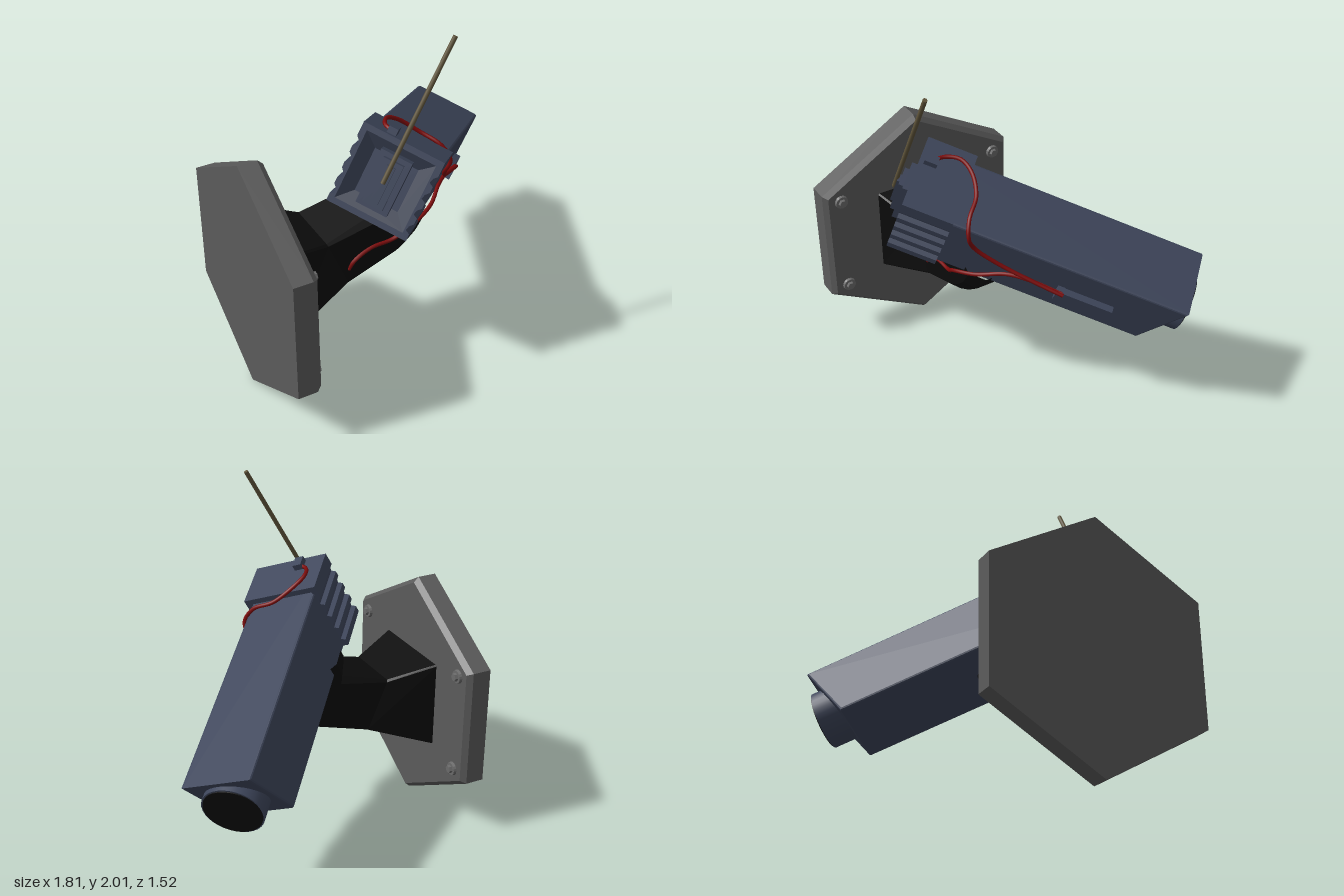
import * as THREE from 'three';

const mat = (name, color, extra = {}) => new THREE.MeshStandardMaterial({ name, color, ...extra });

// gives every face its own normal
function faceted(geo) {
  const g = geo.index ? geo.toNonIndexed() : geo;
  g.computeVertexNormals();
  return g;
}

// lofts eight-sided rings; section = [topX, topY, bottomX, bottomY, halfZ, chamfer]
function loftArm(sections, zMid) {
  const rings = sections.map(([tx, ty, bx, by, hz, c]) => {
    const hv = Math.hypot(tx - bx, ty - by) / 2;
    const v = 1 - c / hv, w = hz - c;
    return [[1, -w], [1, w], [v, hz], [-v, hz], [-1, w], [-1, -w], [-v, -hz], [v, -hz]].map(([k, z]) => [
      (tx + bx) / 2 + k * (tx - bx) / 2, (ty + by) / 2 + k * (ty - by) / 2, zMid + z]);
  });
  const pos = [];
  for (let i = 0; i < rings.length - 1; i++) {
    for (let j = 0; j < 8; j++) {
      const k = (j + 1) % 8;
      const a = rings[i][j], b = rings[i][k], c = rings[i + 1][j], d = rings[i + 1][k];
      pos.push(...a, ...b, ...c, ...b, ...d, ...c);
    }
  }
  const g = new THREE.BufferGeometry();
  g.setAttribute('position', new THREE.Float32BufferAttribute(pos, 3));
  g.computeVertexNormals();
  return g;
}

export function createModel() {
  const model = new THREE.Group();
  model.name = 'securityCamera';
  const blue = mat('housing blue grey', 0x3d455a);
  const inner = mat('recess blue grey', 0x343b4d, { side: THREE.DoubleSide });
  const grey = mat('plate grey', 0x5b5b5b);
  const steel = mat('bolt steel', 0x6a6a6a);
  const black = mat('arm black', 0x0b0b0b);
  const red = mat('wire red', 0x7d0a0a);
  const brass = mat('antenna brass', 0x5f543a);

  const add = (parent, name, geo, material, x = 0, y = 0, z = 0) => {
    const m = new THREE.Mesh(geo, material);
    m.name = name;
    m.position.set(x, y, z);
    parent.add(m);
    return m;
  };
  // cylinder lying along x
  const rod = (rFront, rBack, len, sides, start = 0, open = false) =>
    new THREE.CylinderGeometry(rFront, rBack, len, sides, 1, open, start).rotateZ(-Math.PI / 2);

  // hexagonal wall plate with bevelled front
  const py = 0.688, pz = 0.165;
  add(model, 'wallPlate', faceted(rod(0.688, 0.688, 0.107, 6, Math.PI / 6)), grey, -0.8585, py, pz);
  add(model, 'wallPlateBevel', faceted(rod(0.66, 0.688, 0.03, 6, Math.PI / 6)), grey, -0.79, py, pz);

  // four bolts
  for (const y of [0.4, 0.98]) {
    for (const z of [0.66, -0.33]) {
      add(model, 'boltWasher', faceted(rod(0.036, 0.04, 0.016, 16)), steel, -0.768, y, z);
      add(model, 'boltHead', faceted(rod(0.022, 0.024, 0.018, 6)), steel, -0.752, y, z);
    }
  }

  // flared arm with elbow
  add(model, 'arm', loftArm([
    [-0.776, 0.95, -0.776, 0.445, 0.27, 0.008],
    [-0.52, 0.87, -0.4, 0.58, 0.175, 0.012],
    [-0.24, 0.945, -0.1, 0.66, 0.172, 0.035],
    [-0.26, 0.975, -0.03, 0.69, 0.172, 0.05],
    [-0.27, 1.01, 0.04, 0.74, 0.172, 0.06],
    [-0.275, 1.046, 0.1, 0.812, 0.172, 0.07],
    [-0.255, 1.08, 0.12, 0.845, 0.172, 0.07],
  ], 0.16), black);

  // camera head: local x runs to the lens, y is up, z is the wired side
  const head = new THREE.Group();
  head.name = 'cameraHead';
  head.rotation.set(0, Math.PI / 4, -0.509, 'ZYX');
  model.add(head);
  const mid = -0.258;

  // main body with slanted hood end
  const side = new THREE.Shape([[-0.92, 0.757], [0.47, 0.757], [0.618, 1.155], [-0.92, 1.155]]
    .map(p => new THREE.Vector2(...p)));
  const bv = 0.012;
  add(head, 'body', new THREE.ExtrudeGeometry(side, {
    depth: 0.397 - 2 * bv, bevelEnabled: true, bevelThickness: bv, bevelSize: bv, bevelOffset: -bv, bevelSegments: 2,
  }), blue, 0, 0, mid - 0.1985 + bv);

  // lens barrel and dark glass
  add(head, 'lensBarrel', rod(0.162, 0.162, 0.24, 32), blue, 0.51, 0.96, mid);
  add(head, 'lensGlass', rod(0.154, 0.154, 0.006, 32), black, 0.632, 0.96, mid);

  // rear cap with ribbed sides and a sunken back
  const h = 0.222, valley = 0.198, ribs = 4, pitch = 0.09;
  const right = [[h, -h]];
  for (let i = 0; i < ribs; i++) {
    const y = (i - ribs / 2) * pitch + 0.01;
    right.push([h, y - 0.012], [valley, y], [valley + 0.006, y + 0.025], [h, y + 0.045]);
  }
  right.push([h, h]);
  const left = right.map(([x, y]) => [-x, y]).reverse();
  const cap = new THREE.Shape([...right, ...left].map(p => new THREE.Vector2(...p)));
  const q = 0.19;
  cap.holes.push(new THREE.Path([[-q, -q], [-q, q], [q, q], [q, -q]].map(p => new THREE.Vector2(...p))));
  const capY = 0.975;
  add(head, 'rearCap', new THREE.ExtrudeGeometry(cap, { depth: 0.275, bevelEnabled: false })
    .rotateY(Math.PI / 2), blue, -0.96, capY, mid);
  add(head, 'rearFunnel', faceted(rod(0.12 * Math.SQRT2, q * Math.SQRT2, 0.039, 4, Math.PI / 4, true)),
    inner, -0.9405, capY, mid);

  // antenna mount and antenna
  add(head, 'mountPlate', new THREE.BoxGeometry(0.07, 0.3, 0.17), blue, -0.955, capY, mid);
  add(head, 'mountStep', new THREE.BoxGeometry(0.03, 0.25, 0.11), blue, -1.0, capY, mid);
  add(head, 'mountRidge', new THREE.BoxGeometry(0.02, 0.2, 0.045), blue, -1.02, capY, mid);
  add(head, 'antenna', new THREE.CylinderGeometry(0.012, 0.012, 0.8, 12), brass, -1.035, 1.384, mid);

  // wire clip on the cap and junction box on the side
  add(head, 'wireClip', new THREE.BoxGeometry(0.07, 0.04, 0.05), blue, -0.9, 1.212, -0.336);
  add(head, 'junctionBox', new THREE.BoxGeometry(0.28, 0.07, 0.045), blue, 0.125, 0.932, -0.045);
  add(head, 'junctionCollar', new THREE.BoxGeometry(0.04, 0.08, 0.06), blue, -0.03, 0.932, -0.042);

  // red wires
  const wires = {
    upperWire: [[-0.17, 1.475, 0.4], [-0.18, 1.48, 0.33], [-0.13, 1.47, 0.255], [-0.05, 1.425, 0.235],
      [0.05, 1.345, 0.27], [0.13, 1.285, 0.36], [0.17, 1.2, 0.39], [0.16, 1.12, 0.355],
      [0.22, 1.02, 0.255], [0.35, 0.92, 0.11], [0.46, 0.855, 0]],
    lowerWire: [[-0.4, 0.67, 0.33], [-0.37, 0.72, 0.34], [-0.27, 0.765, 0.335], [-0.14, 0.78, 0.34],
      [-0.05, 0.845, 0.365], [0.1, 0.89, 0.31], [0.22, 0.925, 0.2], [0.32, 0.905, 0.105], [0.45, 0.86, 0]],
  };
  for (const [name, pts] of Object.entries(wires)) {
    const curve = new THREE.CatmullRomCurve3(pts.map(p => new THREE.Vector3(...p)));
    add(model, name, new THREE.TubeGeometry(curve, 60, 0.011, 8), red);
  }
  return model;
}
